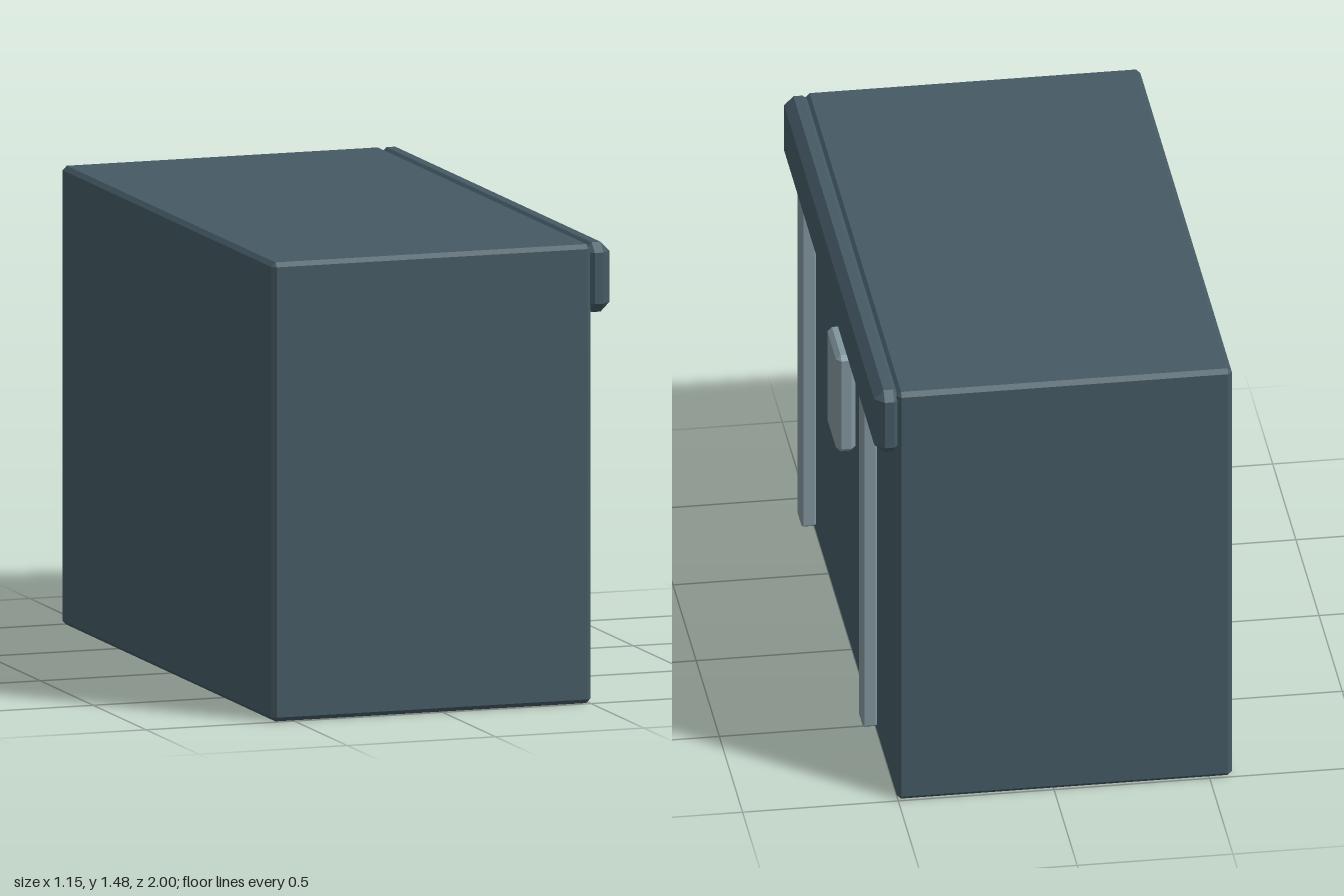
import * as THREE from 'three';
import { ConvexGeometry } from 'three/addons/geometries/ConvexGeometry.js';

// Box with flat chamfers on every edge, given by its min and max corners
function chamferBox(min, max, c) {
  const half = max.map((v, i) => (v - min[i]) / 2);
  const points = [];
  for (const sx of [-1, 1]) for (const sy of [-1, 1]) for (const sz of [-1, 1]) {
    const s = [sx, sy, sz];
    // each corner becomes three points, one on each neighbouring face
    for (let face = 0; face < 3; face++) {
      points.push(new THREE.Vector3(...s.map((v, i) => v * (half[i] - (i === face ? 0 : c)))));
    }
  }
  const geometry = new ConvexGeometry(points);
  geometry.translate(...min.map((v, i) => (v + max[i]) / 2));
  return geometry;
}

export function createModel() {
  const group = new THREE.Group();
  const casing = new THREE.MeshStandardMaterial({ color: 0x455a64 });
  casing.name = 'dark blue grey';
  const trim = new THREE.MeshStandardMaterial({ color: 0x82969e });
  trim.name = 'light blue grey';

  const add = (name, min, max, chamfer, material) => {
    const mesh = new THREE.Mesh(chamferBox(min, max, chamfer), material);
    mesh.name = name;
    group.add(mesh);
  };

  // Main box and the lip along its upper +x edge
  add('body', [-0.573, 0, -1], [0.503, 1.478, 1], 0.014, casing);
  add('lip', [0.483, 1.255, -1], [0.573, 1.48, 1], 0.03, casing);

  // Two upright straps under the lip
  for (const side of [-1, 1]) {
    const z = side * 0.66;
    add(side > 0 ? 'leftStrap' : 'rightStrap',
      [0.523, 0.11, z - 0.046], [0.57, 1.295, z + 0.046], 0.006, trim);
  }

  // Central latch plate
  add('latch', [0.503, 0.775, -0.108], [0.565, 1.125, 0.108], 0.015, trim);

  return group;
}
